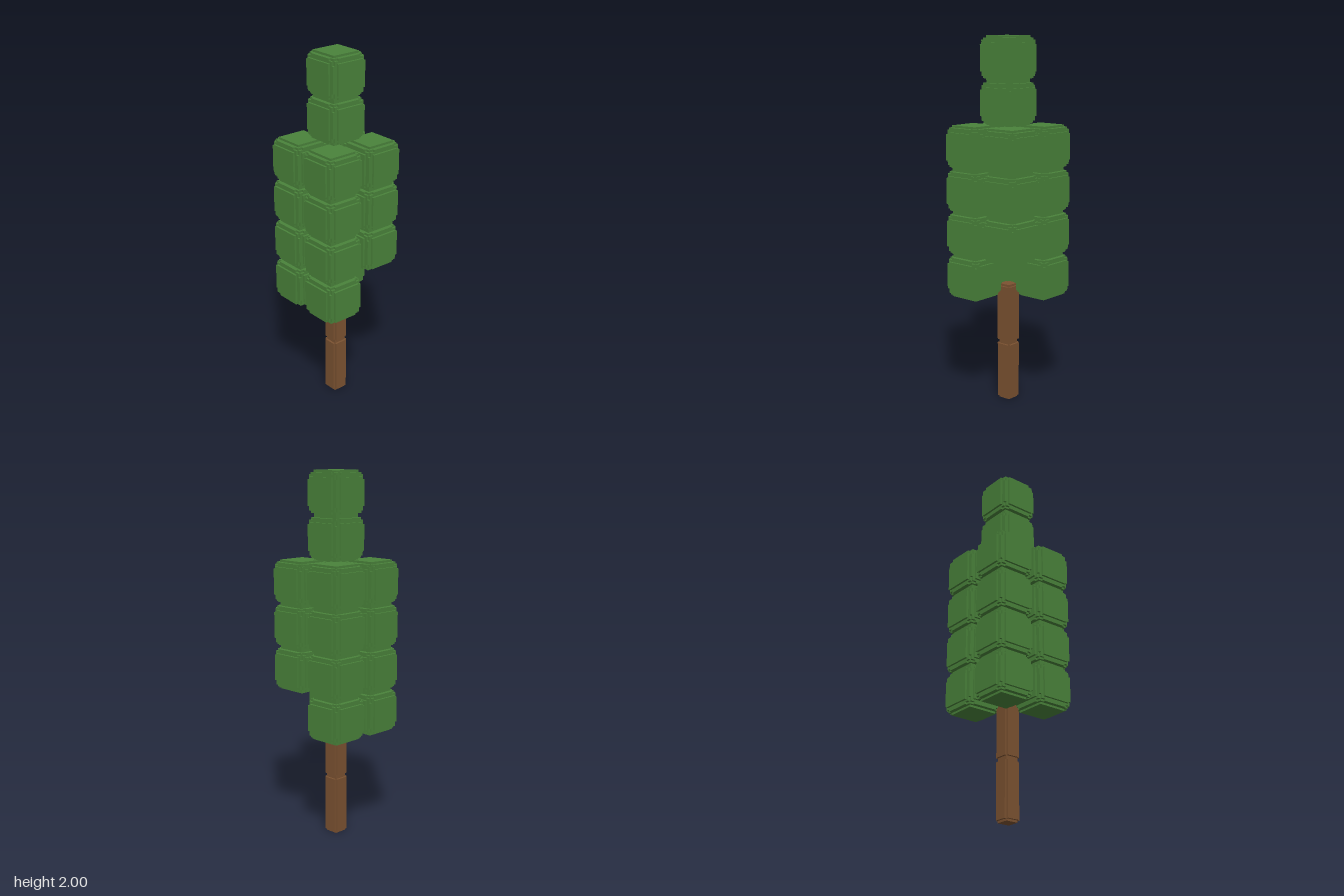
import * as THREE from 'three';
import { mergeGeometries } from 'three/addons/utils/BufferGeometryUtils.js';

const U = 2 / 170; // one voxel

// Stepped block: union of centred boxes given as half sizes in voxels
function steppedBlock(halves) {
  return mergeGeometries(halves.map(([x, y, z]) =>
    new THREE.BoxGeometry(2 * x * U, 2 * y * U, 2 * z * U)));
}

export function createModel() {
  const model = new THREE.Group();
  model.name = 'blockTree';
  const leafGreen = new THREE.MeshStandardMaterial({ name: 'leafGreen', color: 0x4a833b });
  const barkBrown = new THREE.MeshStandardMaterial({ name: 'barkBrown', color: 0x7b5231 });

  const leafGeometry = steppedBlock([
    [10, 7, 7], [7, 10, 7], [7, 7, 10], // raised faces
    [9, 9, 6], [9, 6, 9], [6, 9, 9],    // edge steps
    [9, 8, 8], [8, 9, 8], [8, 8, 9],    // corner steps
  ]);
  const trunkGeometry = steppedBlock([[4, 13, 3], [3, 13, 4], [3, 14, 3]]);

  function place(name, geometry, material, x, y, z) {
    const mesh = new THREE.Mesh(geometry, material);
    mesh.name = name;
    mesh.position.set(x * U, y * U, z * U);
    model.add(mesh);
  }

  // Trunk: two stacked logs
  for (let i = 0; i < 2; i++) place('trunkSegment', trunkGeometry, barkBrown, 0, 14 + 28 * i, 0);

  // Four foliage columns; the front left one lacks its lowest block
  for (const sx of [-1, 1]) {
    for (const sz of [-1, 1]) {
      const first = sx > 0 && sz > 0 ? 1 : 0;
      for (let i = first; i < 4; i++) {
        place('foliageBlock', leafGeometry, leafGreen, 11 * sx, 60 + 20 * i, 11 * sz);
      }
    }
  }

  // Crown: two centred blocks
  for (let i = 0; i < 2; i++) place('crownBlock', leafGeometry, leafGreen, 0, 140 + 20 * i, 0);

  return model;
}
